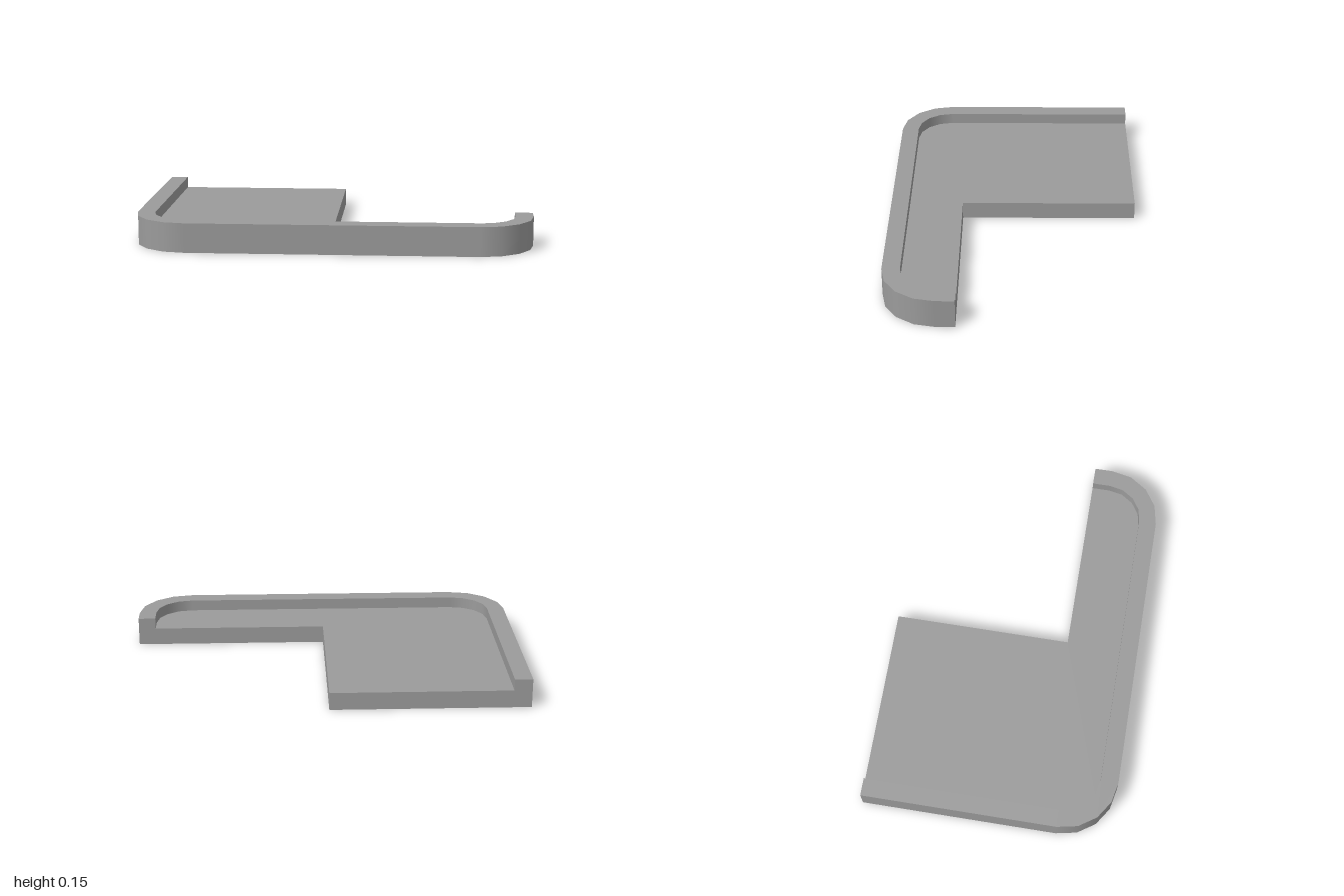
import * as THREE from 'three';

const BACK = -0.638, FRONT = 0.638, ARM_BACK = 0.27; // z limits
const RADIUS = 0.275, RIM_WIDTH = 0.09;
const RIM_HEIGHT = 0.148, FLOOR_HEIGHT = 0.09;
const CORNER_X = 1 - RADIUS, CORNER_Z = FRONT - RADIUS; // centres of the rounded corners

// Line along the right side, round the front and up the left side, moved in by inset.
function edgeLine(inset) {
  const r = RADIUS - inset;
  const points = [new THREE.Vector2(-1 + inset, BACK)];
  for (const [x, start] of [[-CORNER_X, Math.PI], [CORNER_X, Math.PI / 2]]) {
    for (let i = 0; i <= 4; i++) {
      const a = start - (i / 4) * Math.PI / 2;
      points.push(new THREE.Vector2(x + r * Math.cos(a), CORNER_Z + r * Math.sin(a)));
    }
  }
  points.push(new THREE.Vector2(1 - inset, ARM_BACK));
  return points;
}

// Turn the normals of the corner facets to point along the corner radius.
function smoothCorners(geometry) {
  const { position, normal } = geometry.attributes;
  const facet = new THREE.Vector3(), radial = new THREE.Vector3();
  for (let i = 0; i < position.count; i++) {
    facet.fromBufferAttribute(normal, i);
    if (Math.abs(facet.x) < 0.01 || Math.abs(facet.z) < 0.01) continue;
    const x = position.getX(i);
    radial.set(x - Math.sign(x) * CORNER_X, 0, position.getZ(i) - CORNER_Z).normalize();
    if (radial.dot(facet) < 0) radial.negate();
    normal.setXYZ(i, radial.x, radial.y, radial.z);
  }
}

// Raise an x/z outline from the ground to the given height.
function slab(name, outline, height, material) {
  const geometry = new THREE.ExtrudeGeometry(new THREE.Shape(outline), { depth: height, bevelEnabled: false });
  geometry.rotateX(Math.PI / 2).translate(0, height, 0);
  smoothCorners(geometry);
  const mesh = new THREE.Mesh(geometry, material);
  mesh.name = name;
  return mesh;
}

export function createModel() {
  const group = new THREE.Group();
  group.name = 'cornerTray';
  const material = new THREE.MeshStandardMaterial({ color: 0x9b9b9b });
  const outer = edgeLine(0), inner = edgeLine(RIM_WIDTH);

  // Raised lip around the two sides and the front
  group.add(slab('rim', [...outer, ...inner.slice().reverse()], RIM_HEIGHT, material));

  // L-shaped floor inside the lip
  const notch = [new THREE.Vector2(0, ARM_BACK), new THREE.Vector2(0, BACK)];
  group.add(slab('floor', [...inner, ...notch], FLOOR_HEIGHT, material));

  return group;
}
